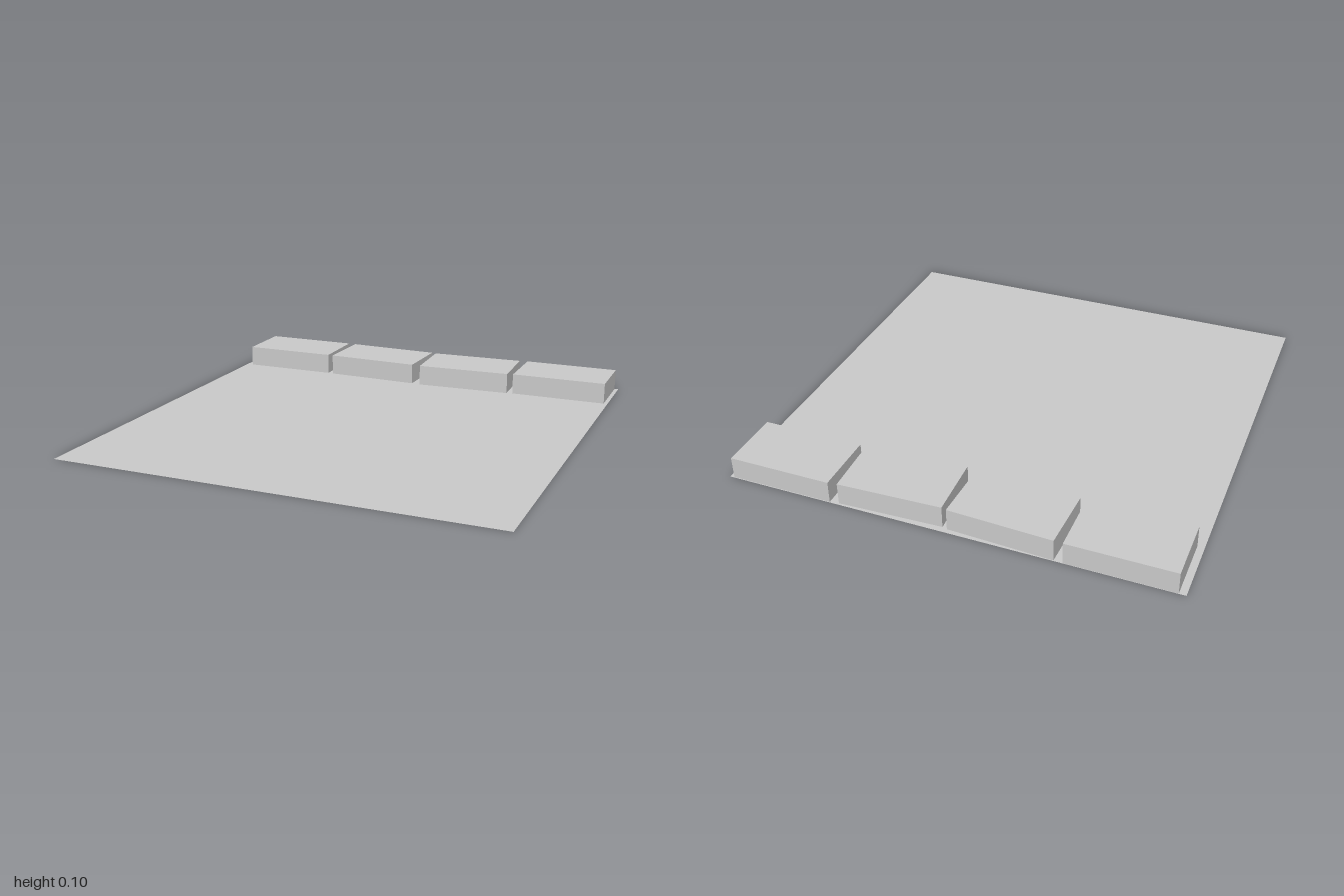
import * as THREE from 'three';

export function createModel() {
  const model = new THREE.Group();
  const material = new THREE.MeshStandardMaterial({ color: 0xcccccc, flatShading: true });
  const sheetMaterial = new THREE.MeshStandardMaterial({ color: 0xcccccc, side: THREE.DoubleSide });

  // Flat square ground sheet
  const floor = new THREE.Mesh(new THREE.PlaneGeometry(2, 2).rotateX(-Math.PI / 2), sheetMaterial);
  floor.name = 'floor';
  model.add(floor);

  // Row of slabs along the back edge, the middle two slightly turned: x, z, turn
  const slabGeometry = new THREE.BoxGeometry(0.463, 0.1, 0.283).translate(0, 0.05, 0);
  const slabs = [
    [-0.738, -0.857, 0],
    [-0.243, -0.846, -0.04],
    [0.253, -0.84, 0.04],
    [0.75, -0.855, 0],
  ];
  slabs.forEach(([x, z, turn], i) => {
    const slab = new THREE.Mesh(slabGeometry, material);
    slab.name = `slab${i + 1}`;
    slab.position.set(x, 0, z);
    slab.rotation.y = turn;
    model.add(slab);
  });

  return model;
}
